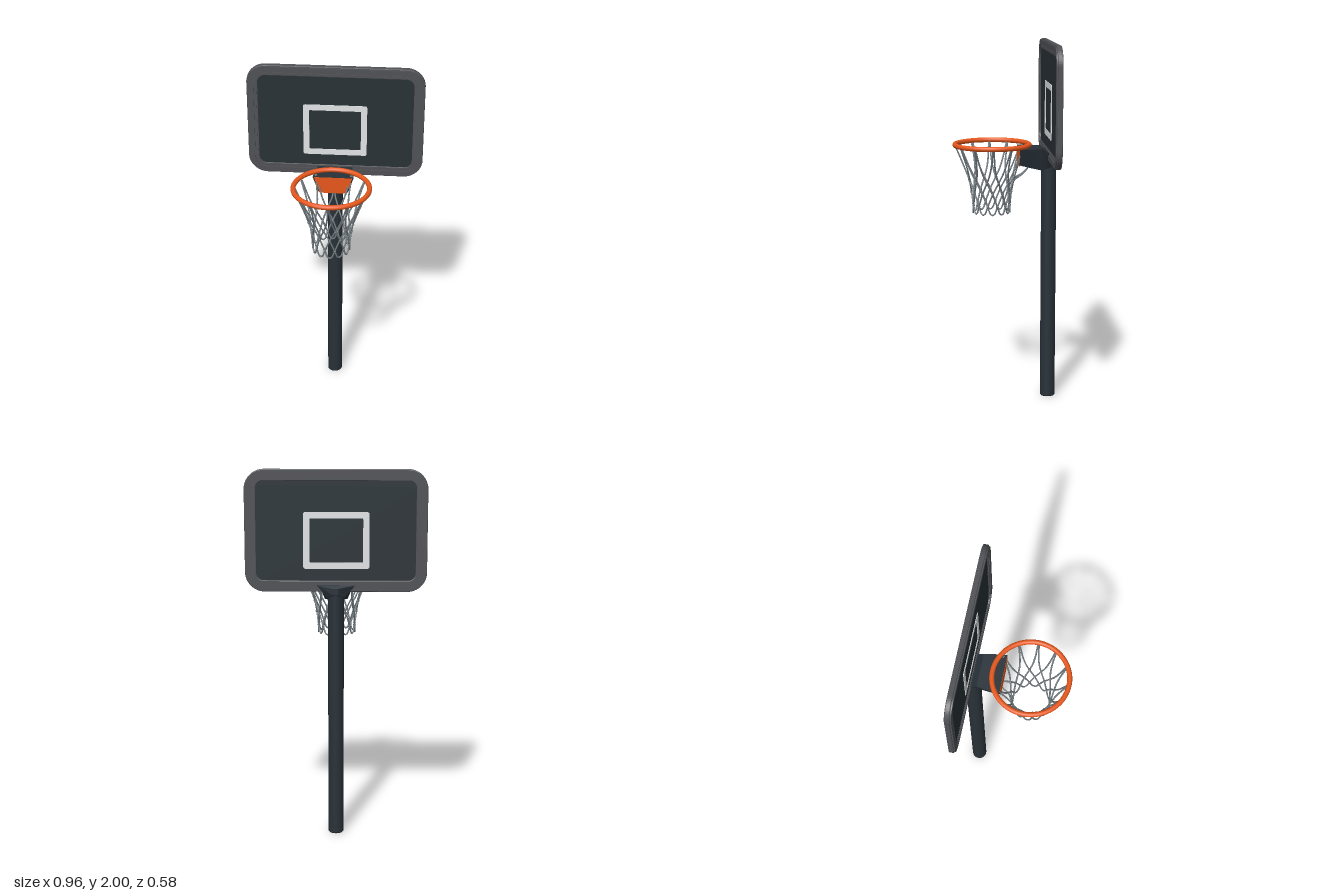
import * as THREE from 'three';

const mat = (name, color) => {
  const m = new THREE.MeshStandardMaterial({ color });
  m.name = name;
  return m;
};

function roundedRect(path, w, h, r) {
  const x = w / 2, y = h / 2, q = Math.PI / 2;
  path.moveTo(x, -y + r);
  path.absarc(x - r, y - r, r, 0, q);
  path.absarc(-x + r, y - r, r, q, 2 * q);
  path.absarc(-x + r, -y + r, r, 2 * q, 3 * q);
  path.absarc(x - r, -y + r, r, 3 * q, 4 * q);
  path.closePath();
  return path;
}

// Rounded plate from z0 to z1, with an optional opening of the given border width
function plate(w, h, r, z0, z1, border = 0, bevel = 0) {
  const s = roundedRect(new THREE.Shape(), w - 2 * bevel, h - 2 * bevel, r);
  if (border) s.holes.push(roundedRect(new THREE.Path(), w - 2 * border, h - 2 * border, Math.max(r - border, 0.006)));
  const g = new THREE.ExtrudeGeometry(s, {
    depth: z1 - z0 - 2 * bevel, curveSegments: 10,
    bevelEnabled: bevel > 0, bevelSize: bevel, bevelThickness: bevel, bevelSegments: 2,
  });
  return g.translate(0, 0, z0 + bevel);
}

// Solid through trapezoid sections [z, topHalfWidth, topY, bottomHalfWidth, bottomY], front to back
function loft(sections) {
  const rings = sections.map(([z, a, t, b, u]) => [[-a, t, z], [a, t, z], [b, u, z], [-b, u, z]]);
  const pos = [];
  const quad = (a, b, c, d) => pos.push(...a, ...b, ...c, ...a, ...c, ...d);
  for (let i = 0; i < rings.length - 1; i++) {
    const f = rings[i], k = rings[i + 1];
    for (let j = 0; j < 4; j++) {
      const n = (j + 1) % 4;
      quad(f[j], f[n], k[n], k[j]);
    }
  }
  const f = rings[0], k = rings[rings.length - 1];
  quad(f[3], f[2], f[1], f[0]);
  quad(k[0], k[1], k[2], k[3]);
  const g = new THREE.BufferGeometry();
  g.setAttribute('position', new THREE.Float32BufferAttribute(pos, 3));
  g.computeVertexNormals();
  return g;
}

export function createModel() {
  const group = new THREE.Group();
  const steel = mat('dark steel', 0x283138);
  const panelMat = mat('board panel', 0x283136);
  const frameMat = mat('frame grey', 0x505155);
  const white = mat('target white', 0xe2e4e6);
  const orange = mat('rim orange', 0xec5a1c);
  const cord = mat('net cord', 0x757f84);

  const add = (name, geometry, material, parent = group) => {
    const m = new THREE.Mesh(geometry, material);
    m.name = name;
    parent.add(m);
    return m;
  };

  // Pole with a softened top edge
  const pole = [[0, 0], [0.038, 0], [0.042, 0.005], [0.042, 0.005], [0.042, 1.36], [0.042, 1.36], [0.036, 1.372], [0, 1.372]];
  add('pole', new THREE.LatheGeometry(pole.map(p => new THREE.Vector2(...p)), 24), steel).position.z = -0.243;

  // Backboard: frame, stepped front lip, recessed panel, target on both faces
  const board = new THREE.Group();
  board.name = 'backboard';
  board.position.y = 1.678;
  group.add(board);
  add('boardFrame', plate(0.96, 0.645, 0.1, -0.265, -0.238, 0.056, 0.004), frameMat, board);
  add('frameLip', plate(0.945, 0.63, 0.095, -0.239, -0.231, 0.03), frameMat, board);
  add('innerLip', plate(0.878, 0.563, 0.07, -0.239, -0.234, 0.012), frameMat, board);
  add('boardPanel', plate(0.88, 0.565, 0.07, -0.259, -0.24), panelMat, board);
  for (const [name, z] of [['frontTarget', -0.24], ['backTarget', -0.262]]) {
    add(name, plate(0.348, 0.3, 0.012, z, z + 0.003, 0.033), white, board).position.set(-0.002, -0.05, 0);
  }

  // Bracket joining the pole, board and rim, with a thin painted front
  add('bracket', loft([
    [-0.076, 0.112, 1.424, 0.08, 1.335],
    [-0.14, 0.104, 1.424, 0.072, 1.318],
    [-0.2, 0.094, 1.424, 0.06, 1.303],
    [-0.228, 0.096, 1.405, 0.052, 1.31],
    [-0.268, 0.1, 1.39, 0.046, 1.325],
    [-0.29, 0.012, 1.375, 0.012, 1.34],
  ]), steel);
  add('rimPlate', loft([
    [-0.0745, 0.104, 1.423, 0.074, 1.328],
    [-0.077, 0.104, 1.423, 0.074, 1.328],
  ]), orange);

  // Rim
  const hoop = new THREE.Group();
  hoop.name = 'hoop';
  hoop.position.set(0.002, 0, 0.07);
  group.add(hoop);
  const rim = add('rim', new THREE.TorusGeometry(0.204, 0.0135, 12, 56), orange, hoop);
  rim.rotation.x = Math.PI / 2;
  rim.position.y = 1.441;

  // Net: crossing cords that start in pairs at the rim; rows are [y, radius, turn in half steps]
  const count = 12, half = Math.PI / count;
  const lower = [[1.245, 0.124, 1], [1.18, 0.11, 2], [1.11, 0.103, 3], [1.068, 0.101, 3.65], [1.064, 0.101, 4]];
  const fromRim = [[1.432, 0.196, 0.06], [1.35, 0.162, 0.2], [1.29, 0.139, 0.5]];
  const fromBracket = [[1.322, 0.208, 0.06], [1.285, 0.178, 0.2], [1.262, 0.146, 0.6]];
  const point = ([y, r, turn], i, dir) => {
    const a = i * 2 * half + dir * turn * half;
    return new THREE.Vector3(r * Math.sin(a), y, r * Math.cos(a));
  };
  const net = new THREE.Group();
  net.name = 'net';
  net.position.z = 0.004;
  hoop.add(net);
  const knot = new THREE.SphereGeometry(0.0075, 8, 6);
  for (let i = 0; i < count; i++) {
    // The rearmost pair hangs from under the bracket
    const upper = i === count / 2 ? fromBracket : fromRim;
    for (const dir of [-1, 1]) {
      const curve = new THREE.CatmullRomCurve3([...upper, ...lower].map(r => point(r, i, dir)));
      add('netCord', new THREE.TubeGeometry(curve, 30, 0.0045, 6), cord, net);
    }
    for (const row of lower.slice(0, 3)) {
      add('netKnot', knot, cord, net).position.copy(point(row, i, 1));
    }
  }
  return group;
}
